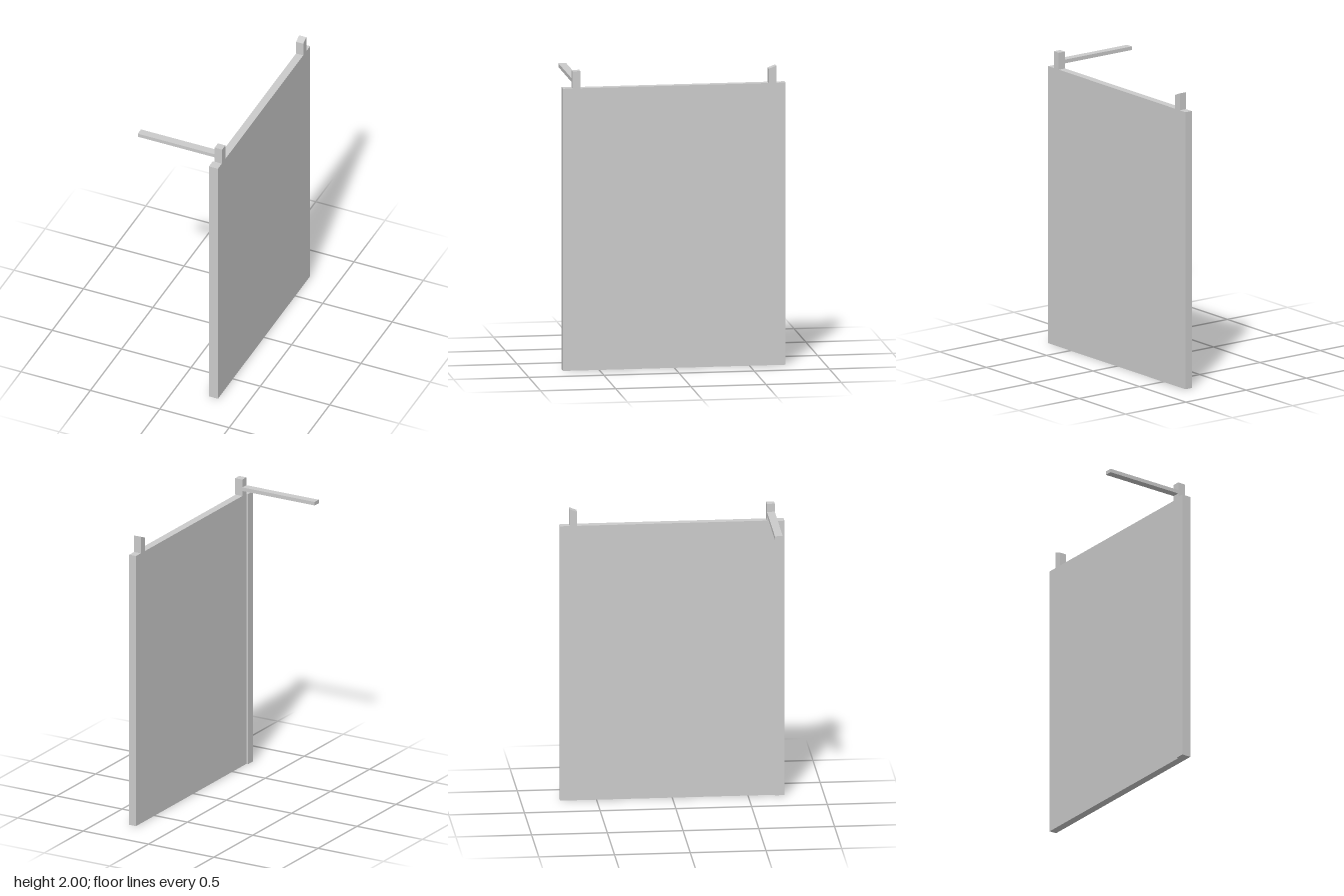
import * as THREE from 'three';

export function createModel() {
  const model = new THREE.Group();
  const material = new THREE.MeshStandardMaterial({ color: 0xcccccc });

  // Box given by its limits along each axis
  function addBox(name, [x0, x1], [y0, y1], [z0, z1]) {
    const geometry = new THREE.BoxGeometry(x1 - x0, y1 - y0, z1 - z0);
    geometry.translate((x0 + x1) / 2, (y0 + y1) / 2, (z0 + z1) / 2);
    const mesh = new THREE.Mesh(geometry, material);
    mesh.name = name;
    model.add(mesh);
    return mesh;
  }

  const top = 1.885;
  const thickness = [0.25, 0.302];

  // Tall flat panel with a slightly thicker front edge
  addBox('panel', thickness, [0, top], [-0.74, 0.68]);
  addBox('frontEdge', [0.237, 0.302], [0, top], [0.677, 0.74]);

  // Pegs standing on the top edge
  addBox('frontPeg', [0.25, 0.304], [top, 2], [0.625, 0.677]);
  const backPeg = addBox('backPeg', thickness, [top, 2], [-0.678, -0.628]);

  // The back peg's top slopes down towards the middle of the panel
  const corners = backPeg.geometry.attributes.position;
  for (let i = 0; i < corners.count; i++) {
    if (corners.getY(i) > 1.95 && corners.getZ(i) > -0.65) corners.setY(i, 1.98);
  }
  backPeg.geometry.computeVertexNormals();

  // Flat arm reaching sideways from the front peg
  addBox('arm', [-0.304, 0.252], [1.92, 1.945], [0.625, 0.677]);

  return model;
}
